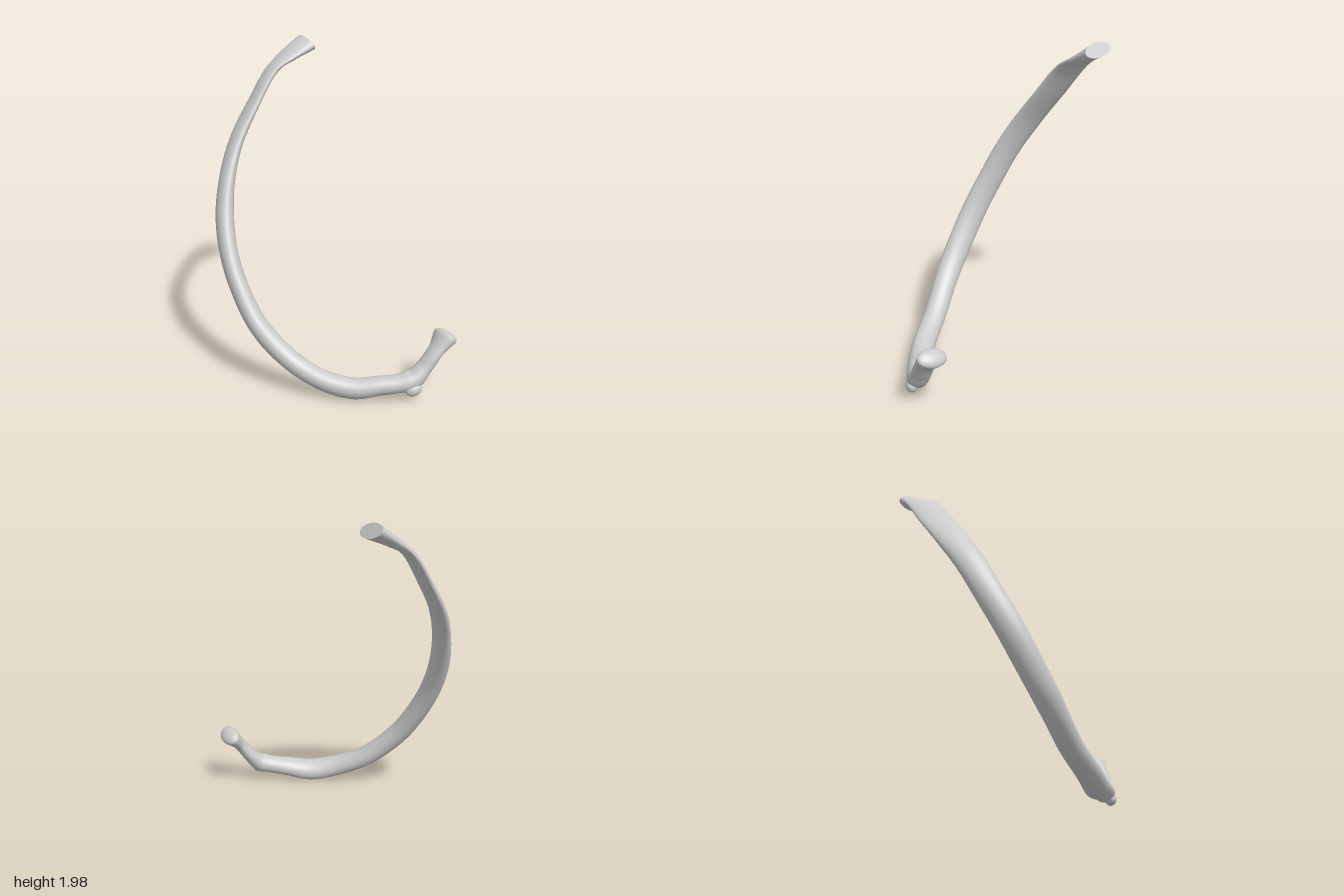
import * as THREE from 'three';

// Stations from the cut upper end to the knobbed head:
// centre x, y, z, half width, half thickness, twist
const STATIONS = [
  [0.035, 1.95, -0.597, 0.096, 0.046, -0.3],
  [-0.08, 1.885, -0.567, 0.097, 0.034, -0.15],
  [-0.205, 1.8, -0.522, 0.099, 0.027, 0],
  [-0.35, 1.6, -0.43, 0.1, 0.031, 0],
  [-0.475, 1.4, -0.33, 0.096, 0.039, 0],
  [-0.552, 1.2, -0.222, 0.088, 0.047, 0],
  [-0.588, 1.0, -0.122, 0.084, 0.055, 0],
  [-0.586, 0.8, -0.012, 0.083, 0.056, 0],
  [-0.54, 0.6, 0.1, 0.081, 0.057, 0],
  [-0.45, 0.4, 0.22, 0.077, 0.06, 0],
  [-0.275, 0.21, 0.35, 0.071, 0.061, -0.1],
  [-0.1, 0.116, 0.463, 0.073, 0.062, -0.35],
  [0.06, 0.082, 0.527, 0.075, 0.064, -0.5],
  [0.2, 0.105, 0.57, 0.069, 0.058, -0.35],
  [0.31, 0.123, 0.602, 0.063, 0.056, -0.15],
  [0.395, 0.15, 0.615, 0.065, 0.057, 0],
  [0.46, 0.215, 0.608, 0.062, 0.044, 0],
  [0.525, 0.3, 0.602, 0.064, 0.04, 0],
  [0.597, 0.382, 0.573, 0.094, 0.058, 0.1],
];
const SIDES = 28, STEPS = 108, DOME = 6;

export function createModel() {
  const group = new THREE.Group();
  const bone = new THREE.MeshStandardMaterial({ color: 0xcccccc });
  bone.name = 'bone grey';

  const path = new THREE.CatmullRomCurve3(STATIONS.map(s => new THREE.Vector3(s[0], s[1], s[2])));
  const sizes = new THREE.CatmullRomCurve3(STATIONS.map(s => new THREE.Vector3(s[3], s[4], s[5])));

  // One elliptical ring; the wide axis stays near z, square to the path
  const ring = (t, scale = 1, push = 0) => {
    const tangent = path.getTangent(t);
    const wide = new THREE.Vector3(0, 0, 1).addScaledVector(tangent, -tangent.z).normalize();
    const size = sizes.getPoint(t);
    wide.applyAxisAngle(tangent, size.z);
    const thin = tangent.clone().cross(wide);
    const centre = path.getPoint(t).addScaledVector(tangent, push);
    return Array.from({ length: SIDES }, (_, j) => {
      const a = j / SIDES * Math.PI * 2;
      return centre.clone()
        .addScaledVector(wide, size.x * scale * Math.cos(a))
        .addScaledVector(thin, size.y * scale * Math.sin(a));
    });
  };

  // Shaft with a rounded head
  const rings = [];
  for (let i = 0; i <= STEPS; i++) rings.push(ring(i / STEPS));
  for (let k = 1; k <= DOME; k++) {
    const a = k / DOME * Math.PI / 2;
    rings.push(ring(1, Math.max(Math.cos(a), 0.01), 0.035 * Math.sin(a)));
  }
  const index = [];
  for (let i = 0; i < rings.length - 1; i++) {
    for (let j = 0; j < SIDES; j++) {
      const k = (j + 1) % SIDES;
      const a = i * SIDES + j, b = i * SIDES + k;
      index.push(a, b, a + SIDES, b, b + SIDES, a + SIDES);
    }
  }
  const add = (name, geometry) => {
    const mesh = new THREE.Mesh(geometry, bone);
    mesh.name = name;
    group.add(mesh);
    return mesh;
  };
  const shaft = new THREE.BufferGeometry().setFromPoints(rings.flat());
  shaft.setIndex(index);
  shaft.computeVertexNormals();
  add('ribShaft', shaft);

  // Flat cut face at the upper end
  const cut = new THREE.BufferGeometry().setFromPoints([path.getPoint(0), ...rings[0]]);
  const fan = [];
  for (let j = 0; j < SIDES; j++) fan.push(0, 1 + (j + 1) % SIDES, 1 + j);
  cut.setIndex(fan);
  cut.computeVertexNormals();
  add('cutEnd', cut);

  // Small knob below the neck
  const knob = add('tubercle', new THREE.SphereGeometry(1, 24, 16));
  knob.scale.set(0.052, 0.04, 0.036);
  knob.position.set(0.385, 0.1, 0.652);
  knob.rotation.z = 0.4;

  return group;
}
